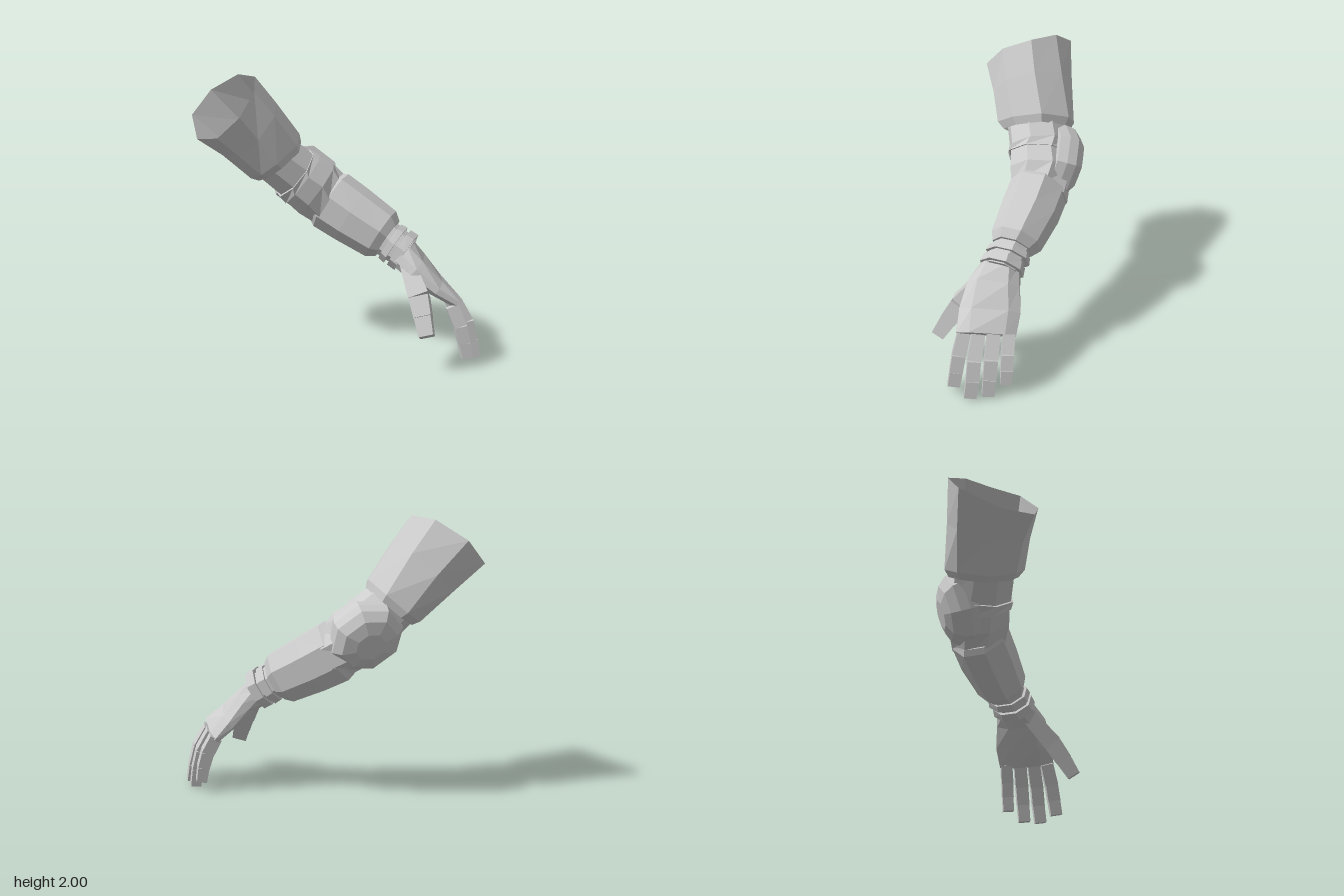
import * as THREE from 'three';

const V = (p) => new THREE.Vector3(...p);
const steel = new THREE.MeshStandardMaterial({ color: 0xcccccc, flatShading: true, side: THREE.DoubleSide });
steel.name = 'plain grey';

// Cross-section outlines in (width, thickness) units
const OCT = Array.from({ length: 8 }, (_, i) => {
  const a = (i + 0.5) * Math.PI / 4, k = Math.cos(Math.PI / 8);
  return [Math.cos(a) / k, Math.sin(a) / k];
});
const BOX = [[1, 1], [-1, 1], [-1, -1], [1, -1]];
const PLATE = [[1, 0.35], [0.5, 1], [-0.5, 1], [-1, 0.35], [-1, -0.35], [-0.6, -1], [0.6, -1], [1, -0.35]];

// One cross-section placed at c, facing along d, with its width along w
function ring(c, d, w, hw, ht, shape) {
  const dir = V(d).normalize();
  const wide = w ? V(w) : new THREE.Vector3(-dir.z, 0, dir.x);
  wide.addScaledVector(dir, -wide.dot(dir)).normalize();
  const n = new THREE.Vector3().crossVectors(dir, wide);
  return shape.map(([a, b]) => V(c).addScaledVector(wide, a * hw).addScaledVector(n, b * ht));
}

// Skin over a row of cross-sections, with optional end caps
function loft(name, rings, capped = true) {
  const pos = [], n = rings[0].length;
  const tri = (...pts) => pts.forEach((p) => pos.push(p.x, p.y, p.z));
  const middle = (r) => r.reduce((s, p) => s.add(p), new THREE.Vector3()).divideScalar(n);
  for (let k = 0; k < rings.length - 1; k++) {
    const a = rings[k], b = rings[k + 1];
    for (let i = 0; i < n; i++) {
      const j = (i + 1) % n;
      tri(a[i], a[j], b[j]);
      tri(a[i], b[j], b[i]);
    }
  }
  const first = rings[0], last = rings[rings.length - 1];
  for (let i = 0; capped && i < n; i++) {
    const j = (i + 1) % n;
    tri(middle(first), first[j], first[i]);
    tri(middle(last), last[i], last[j]);
  }
  const g = new THREE.BufferGeometry();
  g.setAttribute('position', new THREE.Float32BufferAttribute(pos, 3));
  g.computeVertexNormals();
  const mesh = new THREE.Mesh(g, steel);
  mesh.name = name;
  return mesh;
}

// Jointed digit: one tapered box per bone
function digit(name, path, w, halfWidths, halfDepths) {
  const g = new THREE.Group();
  g.name = name;
  for (let i = 0; i < path.length - 1; i++) {
    const d = V(path[i + 1]).sub(V(path[i])).toArray();
    g.add(loft(name + 'Segment' + (i + 1), [
      ring(path[i], d, w, halfWidths[i], halfDepths[i], BOX),
      ring(path[i + 1], d, w, halfWidths[i + 1] * 1.04, halfDepths[i + 1] * 1.04, BOX),
    ]));
  }
  return g;
}

export function createModel() {
  const arm = new THREE.Group();
  arm.name = 'armoredArm';

  // Flared, open upper sleeve
  const opening = [[-0.54, 2, -0.27], [-0.63, 1.99, -0.47], [-0.81, 1.86, -0.62], [-0.96, 1.69, -0.57],
    [-0.96, 1.57, -0.28], [-0.85, 1.62, -0.03], [-0.7, 1.77, 0.03], [-0.58, 1.93, -0.07]];
  const middle = [[-0.4, 1.82, -0.27], [-0.46, 1.77, -0.48], [-0.6, 1.63, -0.59], [-0.74, 1.5, -0.54],
    [-0.78, 1.44, -0.3], [-0.7, 1.48, -0.08], [-0.57, 1.6, 0], [-0.44, 1.75, -0.07]];
  const hem = [[-0.22, 1.57, -0.29], [-0.27, 1.5, -0.5], [-0.4, 1.38, -0.57], [-0.52, 1.3, -0.5],
    [-0.58, 1.26, -0.29], [-0.54, 1.33, -0.09], [-0.44, 1.42, -0.01], [-0.28, 1.53, -0.09]];
  const core = new THREE.Vector3(-0.4, 1.41, -0.29);
  const lip = hem.map((p) => V(p).lerp(core, 0.13).add(new THREE.Vector3(0.035, -0.04, 0)).toArray());
  arm.add(loft('upperSleeve', [opening, middle, hem, lip].map((r) => r.map(V).reverse()), false));

  // Upper arm with a raised band before the elbow
  const du = [0.77, -0.64, 0.02], de = [0.77, -0.6, 0.2], df = [0.73, -0.51, 0.45];
  arm.add(loft('upperArm', [
    ring([-0.46, 1.455, -0.29], du, null, 0.2, 0.17, OCT),
    ring([-0.24, 1.275, -0.29], du, null, 0.21, 0.185, OCT),
  ]));
  arm.add(loft('elbowBand', [
    ring([-0.26, 1.285, -0.285], du, null, 0.22, 0.195, OCT),
    ring([-0.2, 1.235, -0.28], de, null, 0.22, 0.2, OCT),
  ]));
  arm.add(loft('elbowJoint', [
    ring([-0.21, 1.245, -0.28], de, null, 0.205, 0.19, OCT),
    ring([-0.1, 1.16, -0.27], de, null, 0.215, 0.205, OCT),
    ring([0.02, 1.06, -0.235], df, null, 0.2, 0.185, OCT),
  ]));

  // Domed elbow guard, tilted down and back
  const out = V([0.06, -0.36, -1]).normalize();
  const along = [0.77, -0.63, 0.25];
  arm.add(loft('elbowGuard', [[-0.07, 0.95], [0, 1], [0.07, 0.96], [0.13, 0.75], [0.16, 0.4]].map(([h, s]) =>
    ring(V([-0.155, 1.21, -0.4]).addScaledVector(out, h).toArray(), out.toArray(), along, 0.25 * s, 0.23 * s, OCT))));

  // Forearm shell
  arm.add(loft('forearm', [
    [[-0.03, 1.095, -0.255], 0.18, 0.19],
    [[0.0, 1.075, -0.24], 0.195, 0.215],
    [[0.14, 0.98, -0.15], 0.195, 0.205],
    [[0.32, 0.86, -0.02], 0.17, 0.185],
    [[0.36, 0.83, 0.015], 0.135, 0.145],
  ].map(([c, s, t]) => ring(c, df, null, s, t, OCT))));

  // Wrist and its two cuffs
  arm.add(loft('wrist', [
    ring([0.34, 0.845, 0.0], df, null, 0.125, 0.125, OCT),
    ring([0.48, 0.74, 0.12], df, null, 0.12, 0.11, OCT),
  ]));
  [[0.375, 0.815, 0.035], [0.43, 0.778, 0.08]].forEach((c, i) => {
    const end = V(c).addScaledVector(V(df), 0.05 + i * 0.015).toArray();
    arm.add(loft('wristCuff' + (i + 1), [
      ring(c, df, null, 0.14, 0.135 + i * 0.005, OCT),
      ring(end, df, null, 0.15, 0.14, OCT),
    ]));
  });

  // Back of hand and palm
  arm.add(loft('palm', [
    ring([0.44, 0.755, 0.1], [0.7, -0.6, 0.4], [-0.5, 0, 0.85], 0.13, 0.1, PLATE),
    ring([0.53, 0.66, 0.17], [0.7, -0.7, 0.3], [-0.3, 0, 0.9], 0.18, 0.085, PLATE),
    ring([0.66, 0.53, 0.22], [0.7, -0.7, 0.2], [-0.15, 0, 1], 0.21, 0.065, PLATE),
    ring([0.78, 0.425, 0.265], [0.7, -0.7, 0.15], [-0.06, 0.1, 1], 0.205, 0.045, PLATE),
  ]));

  // Four fingers
  const fingers = {
    indexFinger: [[0.73, 0.42, 0.41], [0.78, 0.28, 0.455], [0.805, 0.16, 0.48], [0.82, 0.055, 0.5]],
    middleFinger: [[0.785, 0.43, 0.32], [0.86, 0.28, 0.36], [0.895, 0.14, 0.38], [0.913, 0.015, 0.4]],
    ringFinger: [[0.79, 0.43, 0.215], [0.865, 0.28, 0.245], [0.897, 0.14, 0.262], [0.913, 0.015, 0.275]],
    littleFinger: [[0.79, 0.42, 0.11], [0.85, 0.3, 0.13], [0.88, 0.19, 0.14], [0.895, 0.085, 0.148]],
  };
  for (const [name, path] of Object.entries(fingers)) {
    const s = name === 'littleFinger' ? 0.92 : 1;
    arm.add(digit(name, path, [-0.1, 0, 1], [0.046, 0.046, 0.044, 0.041].map((h) => h * s), [0.044, 0.044, 0.04, 0.035]));
  }

  // Thumb, turned toward the palm
  arm.add(digit('thumb', [[0.46, 0.68, 0.22], [0.49, 0.5, 0.4], [0.495, 0.38, 0.485], [0.5, 0.265, 0.56]],
    [0.9, 0.05, 0.45], [0.055, 0.07, 0.06, 0.05], [0.055, 0.065, 0.057, 0.045]));

  return arm;
}
